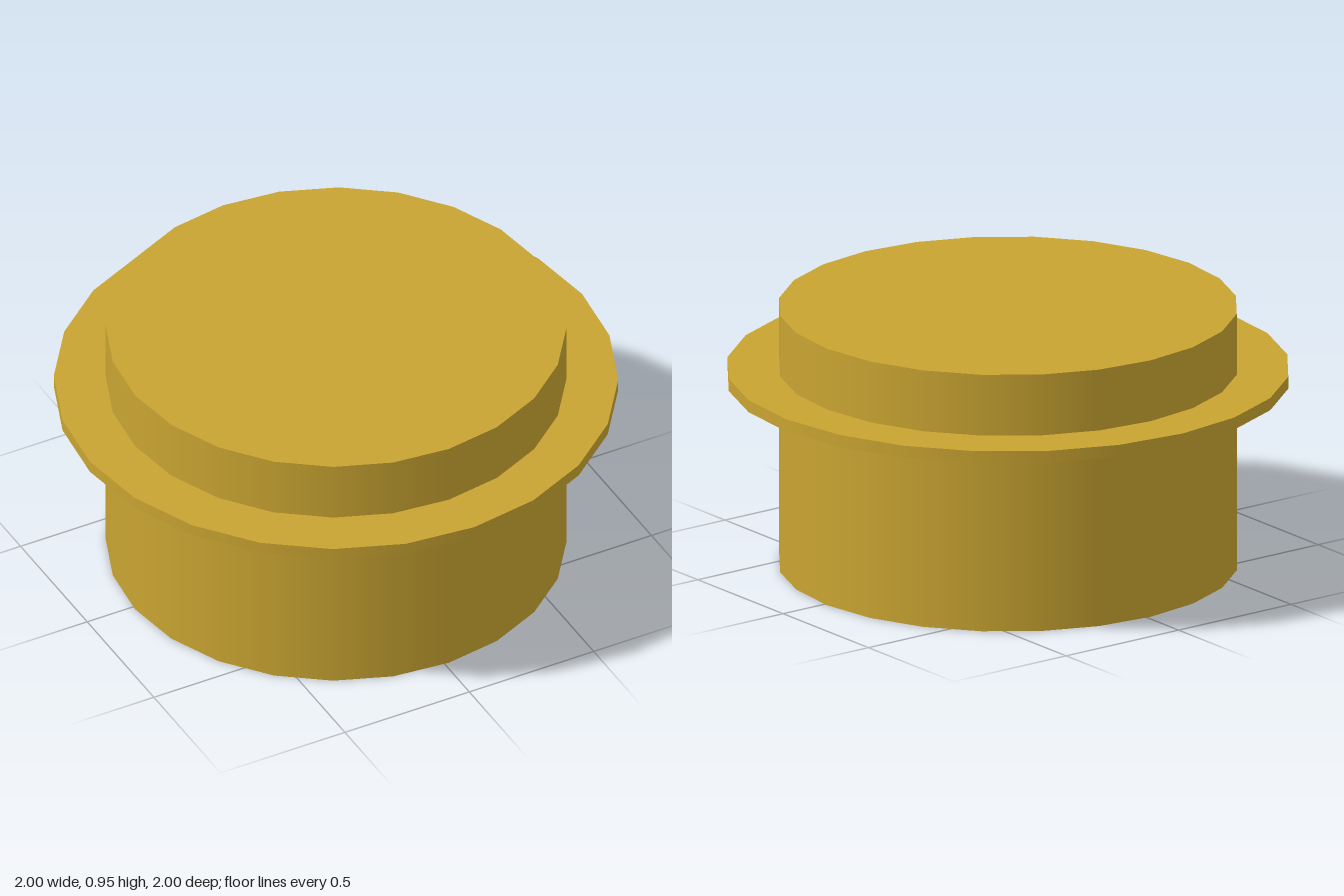
import * as THREE from 'three';

const SIDES = 24;
const TURN = 0.02; // slight twist of the facets about the axis

export function createModel() {
  const model = new THREE.Group();
  model.name = 'flangedPlug';
  const brass = new THREE.MeshStandardMaterial({ color: 0xc9a431 });

  // Solid disc between two heights
  const addDisc = (name, radius, bottom, top) => {
    const geometry = new THREE.CylinderGeometry(radius, radius, top - bottom, SIDES, 1, false, TURN);
    const mesh = new THREE.Mesh(geometry, brass);
    mesh.name = name;
    mesh.position.y = (bottom + top) / 2;
    model.add(mesh);
  };

  addDisc('body', 0.816, 0, 0.953);
  addDisc('flange', 1, 0.682, 0.727);

  return model;
}
